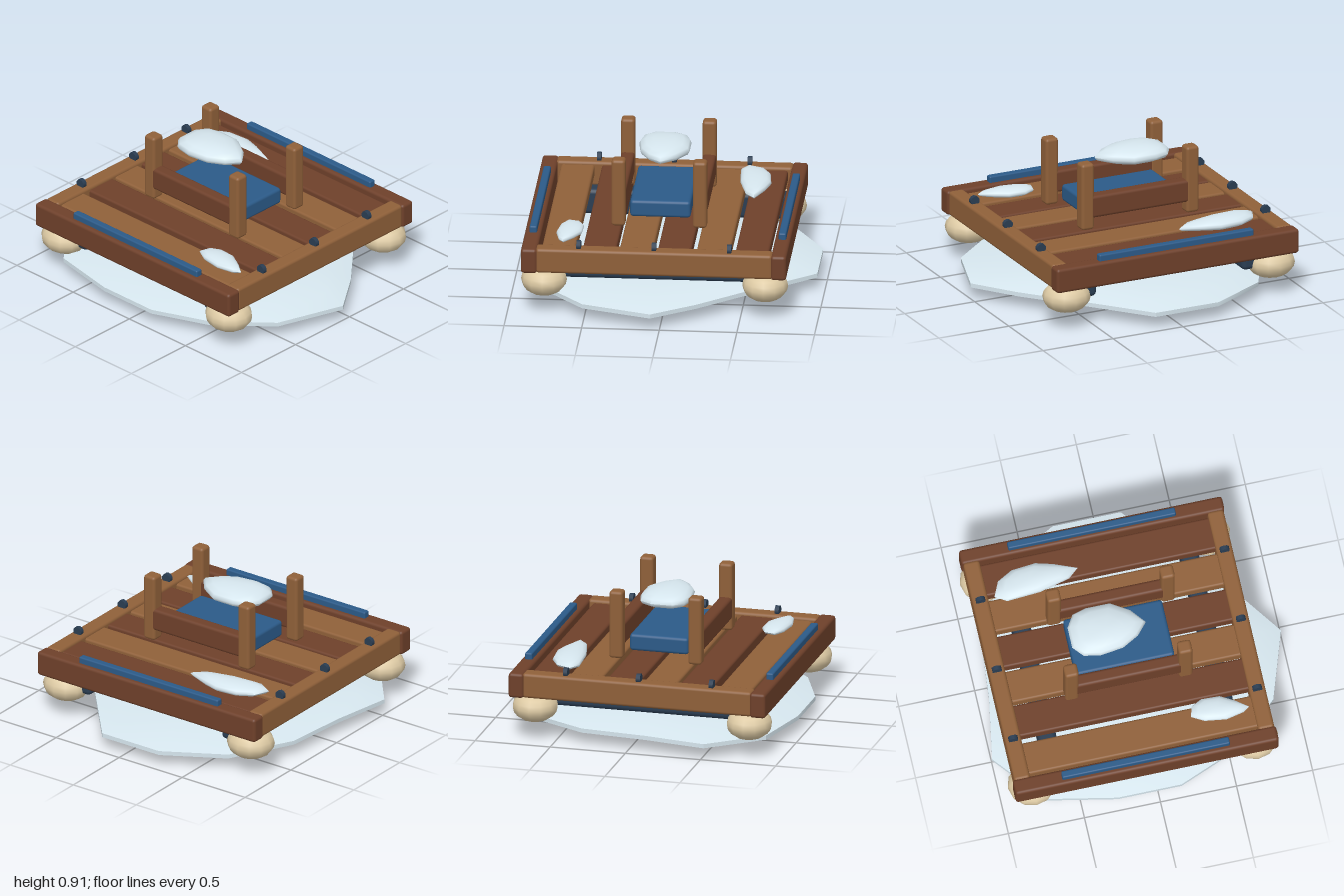
import * as THREE from 'three';
import { toCreasedNormals } from 'three/addons/utils/BufferGeometryUtils.js';
import { RoundedBoxGeometry } from 'three/addons/geometries/RoundedBoxGeometry.js';

const mat = (color) => new THREE.MeshStandardMaterial({ color });

// Lens-like slab: an outline (x, z pairs) scaled about its centre at each [scale, y] step, bottom to top
function slabGeometry(outline, [cx, cz], profile, crease) {
  const n = outline.length, pos = [], index = [];
  for (const [s, y] of profile)
    for (const [x, z] of outline) pos.push(cx + (x - cx) * s, y, cz + (z - cz) * s);
  for (let k = 0; k < profile.length - 1; k++) {
    for (let j = 0; j < n; j++) {
      const a = k * n + j, b = k * n + (j + 1) % n, c = a + n, d = b + n;
      if (profile[k][0] > 0) index.push(a, c, b);
      if (profile[k + 1][0] > 0) index.push(b, c, d);
    }
  }
  const g = new THREE.BufferGeometry();
  g.setAttribute('position', new THREE.Float32BufferAttribute(pos, 3));
  g.setIndex(index);
  return toCreasedNormals(g, crease);
}

// Rounded lens profile between two heights
function lensProfile(y0, y1, steps = 8) {
  const list = [];
  for (let i = 0; i <= steps; i++) {
    const t = (i / steps - 0.5) * Math.PI;
    const s = i === 0 || i === steps ? 0 : Math.pow(Math.cos(t), 0.9);
    list.push([s, (y0 + y1) / 2 + Math.sin(t) * (y1 - y0) / 2]);
  }
  return list;
}

export function createModel() {
  const group = new THREE.Group();
  const lightWood = mat(0x8f6039), darkWood = mat(0x6e402a), blue = mat(0x2b5a88);
  const navy = mat(0x2a3d52), ice = mat(0xd6e6ee), hide = mat(0xdcc9a3);

  const add = (name, geometry, material) => {
    const m = new THREE.Mesh(geometry, material);
    m.name = name;
    group.add(m);
    return m;
  };
  // Rounded box given by its extents
  const box = (name, material, [x0, x1], [y0, y1], [z0, z1], r = 0.02) => {
    const g = new RoundedBoxGeometry(x1 - x0, y1 - y0, z1 - z0, 2, r);
    return add(name, g, material).position.set((x0 + x1) / 2, (y0 + y1) / 2, (z0 + z1) / 2);
  };

  // Ice floe under everything
  const floe = [
    [0.17, -0.95], [0.57, -0.48], [0.8, -0.22], [1, 0.06], [0.85, 0.51], [0.52, 0.8], [0.15, 0.95], [-0.27, 0.95],
    [-0.72, 0.86], [-1, 0.52], [-0.93, 0.11], [-0.89, -0.32], [-0.67, -0.73], [-0.28, -0.95],
  ];
  add('iceFloe', slabGeometry(floe, [0, 0], [
    [0, 0], [0.3, 0.003], [0.6, 0.016], [0.84, 0.036], [1, 0.078],
    [1, 0.106], [0.84, 0.136], [0.6, 0.16], [0.3, 0.174], [0, 0.178],
  ], 0.6), ice);

  // Floats at the corners and runners between them
  for (const x of [-0.795, 0.665]) {
    for (const z of [-0.655, 0.77]) {
      const float = add('float', new THREE.SphereGeometry(1, 12, 10), hide);
      float.scale.set(0.158, 0.103, 0.148);
      float.position.set(x, 0.205, z);
    }
  }
  for (const x of [-0.64, 0.52]) box('runner', navy, [x - 0.06, x + 0.06], [0.18, 0.35], [-0.69, 0.8], 0.03);

  // Deck frame
  box('frontRail', darkWood, [-0.93, 0.8], [0.285, 0.45], [0.805, 0.91]);
  box('backRail', darkWood, [-0.93, 0.8], [0.285, 0.45], [-0.8, -0.7]);
  for (const x of [-0.867, 0.738]) {
    box('sideBeam', lightWood, [x - 0.053, x + 0.053], [0.287, 0.452], [-0.71, 0.815]);
    // Lashings on top of the beam
    for (const z of [-0.43, 0.055, 0.54]) {
      const lashing = add('lashing', new THREE.CylinderGeometry(0.032, 0.032, 0.028, 10), navy);
      lashing.rotation.x = Math.PI / 2;
      lashing.position.set(x, 0.47, z);
    }
  }

  // Deck planks in alternating wood
  [-0.57, -0.32, -0.07, 0.175, 0.412, 0.675].forEach((z, i) =>
    box('plank', i % 2 ? lightWood : darkWood, [-0.83, 0.7], [0.35, 0.43], [z - 0.108, z + 0.108], 0.015));

  // Blue strips on the end rails
  for (const z of [0.855, -0.75]) box('edgeStrip', blue, [-0.617, 0.485], [0.435, 0.492], [z - 0.024, z + 0.024], 0.01);

  // Seat: cushion, four posts and two side boards
  box('cushion', blue, [-0.39, 0.26], [0.492, 0.603], [-0.14, 0.25]);
  for (const z of [0.318, -0.207]) {
    for (const x of [-0.438, 0.31]) box('post', lightWood, [x - 0.045, x + 0.045], [0.46, 0.91], [z - 0.045, z + 0.045]);
    box('sideBoard', darkWood, [-0.42, 0.295], [0.535, 0.685], [z - 0.043, z + 0.043]);
  }

  // Ice pieces: one above the seat, two on the deck
  add('seatIce', slabGeometry([
    [-0.39, 0], [-0.34, -0.08], [-0.25, -0.105], [-0.09, -0.105], [0.03, -0.03], [0.11, 0.07],
    [0.04, 0.15], [-0.07, 0.21], [-0.22, 0.23], [-0.33, 0.21], [-0.39, 0.14],
  ], [-0.16, 0.07], lensProfile(0.76, 0.875), 1.3), ice);
  add('backIce', slabGeometry([
    [-0.775, -0.43], [-0.73, -0.53], [-0.63, -0.585], [-0.47, -0.6], [-0.36, -0.57],
    [-0.21, -0.51], [-0.28, -0.45], [-0.48, -0.4], [-0.7, -0.385],
  ], [-0.53, -0.49], lensProfile(0.43, 0.508), 1.3), ice);
  add('frontIce', slabGeometry([
    [0.28, 0.64], [0.3, 0.57], [0.37, 0.535], [0.49, 0.54], [0.58, 0.59],
    [0.66, 0.65], [0.62, 0.68], [0.5, 0.705], [0.36, 0.685],
  ], [0.45, 0.62], lensProfile(0.43, 0.492), 1.3), ice);

  return group;
}
